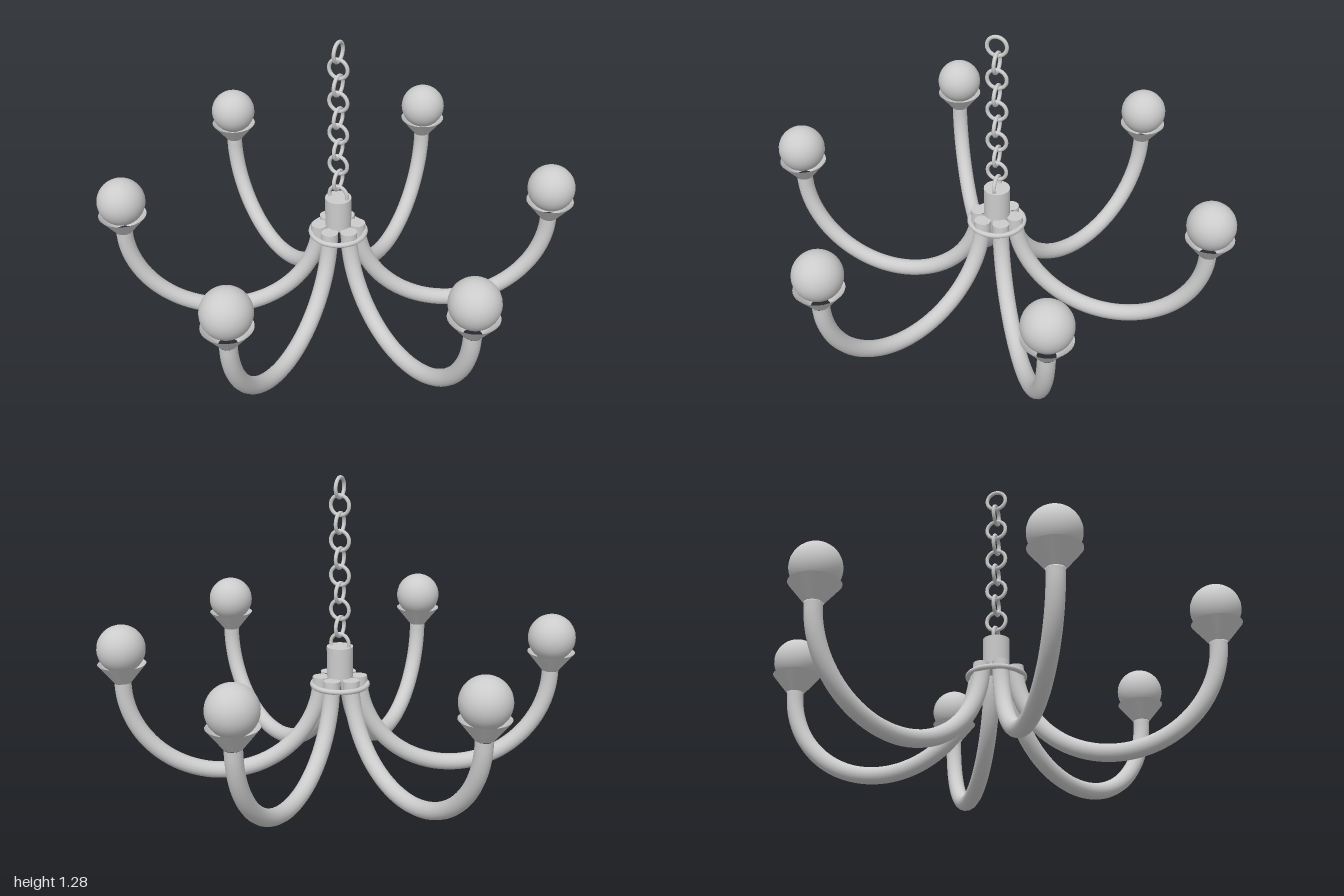
import * as THREE from 'three';

const material = new THREE.MeshStandardMaterial({ color: 0xcccccc });
const openMaterial = new THREE.MeshStandardMaterial({ color: 0xcccccc, side: THREE.DoubleSide });

const ARMS = 6;
const ARM_START = 0.08, ARM_END = 0.9;   // distance of the arm ends from the axis
const ARM_TOP = 0.44, ARM_RADIUS = 0.035;

function add(parent, name, geometry, x = 0, y = 0, z = 0, mat = material) {
  const mesh = new THREE.Mesh(geometry, mat);
  mesh.name = name;
  mesh.position.set(x, y, z);
  parent.add(mesh);
  return mesh;
}

// Half-ellipse that dips from the hub and rises to the lamp
function armCurve() {
  const mid = (ARM_START + ARM_END) / 2;
  const rx = (ARM_END - ARM_START) / 2;
  const ry = ARM_TOP - ARM_RADIUS;
  const points = [];
  for (let i = 0; i <= 24; i++) {
    const a = Math.PI * (1 + i / 24);
    points.push(new THREE.Vector3(mid + rx * Math.cos(a), ARM_TOP + ry * Math.sin(a), 0));
  }
  return new THREE.CatmullRomCurve3(points);
}

export function createModel() {
  const model = new THREE.Group();
  model.name = 'chandelier';

  const armGeometry = new THREE.TubeGeometry(armCurve(), 48, ARM_RADIUS, 16);
  const capGeometry = new THREE.CircleGeometry(ARM_RADIUS, 16).rotateX(-Math.PI / 2);
  const cupGeometry = new THREE.CylinderGeometry(0.1, 0.036, 0.08, 32, 1, true);
  const bulbGeometry = new THREE.SphereGeometry(0.1, 32, 24);

  // Arms, each with an open cup and a round bulb
  for (let i = 0; i < ARMS; i++) {
    const arm = new THREE.Group();
    arm.name = 'lampArm' + (i + 1);
    arm.rotation.y = Math.PI / 6 + (i * 2 * Math.PI) / ARMS;
    add(arm, 'armTube', armGeometry);
    add(arm, 'armEndCap', capGeometry, ARM_START, ARM_TOP, 0);
    add(arm, 'cup', cupGeometry, ARM_END, 0.48, 0, openMaterial);
    add(arm, 'bulb', bulbGeometry, ARM_END, 0.583, 0);
    model.add(arm);
  }

  // Hub: ring around the arm ends and a central post
  const ring = add(model, 'hubRing', new THREE.TorusGeometry(0.115, 0.011, 12, 48), 0, 0.405, 0);
  ring.rotation.x = Math.PI / 2;
  add(model, 'hubPost', new THREE.CylinderGeometry(0.055, 0.055, 0.14, 32), 0, 0.5, 0);

  // Chain of links turned alternately by a quarter
  const chain = new THREE.Group();
  chain.name = 'chain';
  const linkGeometry = new THREE.TorusGeometry(0.041, 0.008, 10, 28);
  for (let i = 0; i < 10; i++) {
    const link = add(chain, 'chainLink' + (i + 1), linkGeometry, 0, 0.582 + i * 0.0725, 0);
    link.rotation.y = i % 2 ? Math.PI / 2 : 0;
  }
  model.add(chain);

  return model;
}
